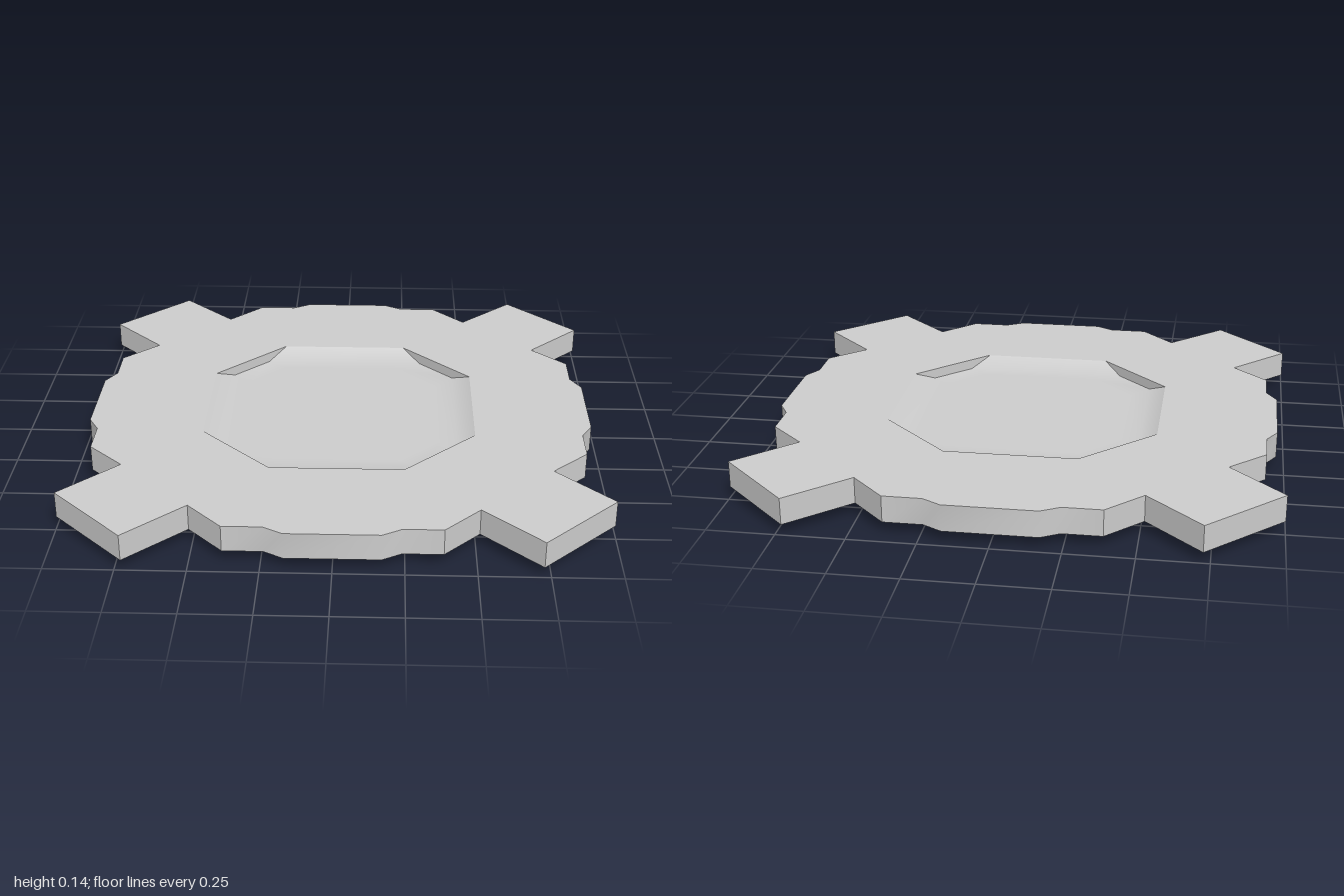
import * as THREE from 'three';
import { toCreasedNormals } from 'three/addons/utils/BufferGeometryUtils.js';

const CREASE = 0.6;
const BOTTOM = 0.04, TOP = 0.14, DEPTH = 0.04;

// Expand one eighth of an outline, [x, z] from the +z axis to the diagonal, to a full loop
function fullLoop(eighth) {
  const mirrored = eighth.map(([x, z]) => [z, x]).reverse();
  let quarter = [...eighth, ...mirrored];
  const loop = [];
  for (let i = 0; i < 4; i++) {
    loop.push(...quarter);
    quarter = quarter.map(([x, z]) => [z, -x]);
  }
  return loop;
}

// Skin a series of { loop, y } sections
function skin(sections) {
  const pos = [];
  const put = (s, i) => {
    const [x, z] = s.loop[i % s.loop.length];
    pos.push(x, s.y, z);
  };
  for (let k = 0; k + 1 < sections.length; k++) {
    const a = sections[k], b = sections[k + 1];
    for (let i = 0; i < a.loop.length; i++) {
      put(a, i); put(a, i + 1); put(b, i + 1);
      put(a, i); put(b, i + 1); put(b, i);
    }
  }
  const geo = new THREE.BufferGeometry();
  geo.setAttribute('position', new THREE.Float32BufferAttribute(pos, 3));
  return toCreasedNormals(geo, CREASE);
}

export function createModel() {
  const group = new THREE.Group();
  const material = new THREE.MeshStandardMaterial({ color: 0xcccccc });
  const add = (name, geo) => {
    const mesh = new THREE.Mesh(geo, material);
    mesh.name = name;
    group.add(mesh);
  };

  // Stepped round outline with four diagonal tabs
  const outline = fullLoop([[0.17, 0.97], [0.24, 0.93], [0.385, 0.93], [0.515, 0.795], [0.725, 1]]);
  // Pressed octagon: rim, floor edge and inner floor
  const rim = fullLoop([[0.25, 0.52]]);
  const floor = fullLoop([[0.318, 0.452]]);
  const inner = fullLoop([[0.24, 0.385]]);

  // Plate faces, with the octagon cut out
  const toPoints = loop => loop.map(([x, z]) => new THREE.Vector2(x, -z));
  const shape = new THREE.Shape(toPoints(outline));
  shape.holes.push(new THREE.Path(toPoints(rim)));
  add('plateTop', new THREE.ShapeGeometry(shape).rotateX(-Math.PI / 2).translate(0, TOP, 0));
  add('plateUnderside', new THREE.ShapeGeometry(shape).rotateX(Math.PI / 2).translate(0, BOTTOM, 0));
  add('plateEdge', skin([{ loop: outline, y: BOTTOM }, { loop: outline, y: TOP }]));

  // Recess on top and matching bulge below: sloped main sides, upright diagonal sides
  const centre = inner.map(([x, z]) => [x * 0.01, z * 0.01]);
  const dish = y => [
    { loop: rim, y },
    { loop: floor, y: y - DEPTH },
    { loop: inner, y: y - DEPTH },
    { loop: centre, y: y - DEPTH },
  ];
  add('recess', skin(dish(TOP)));
  add('bulge', skin(dish(BOTTOM).reverse()));

  // Close the tiny centres of both floors
  const cap = new THREE.ShapeGeometry(new THREE.Shape(toPoints(centre)));
  add('recessCentre', cap.clone().rotateX(-Math.PI / 2).translate(0, TOP - DEPTH, 0));
  add('bulgeCentre', cap.clone().rotateX(Math.PI / 2).translate(0, BOTTOM - DEPTH, 0));

  return group;
}
